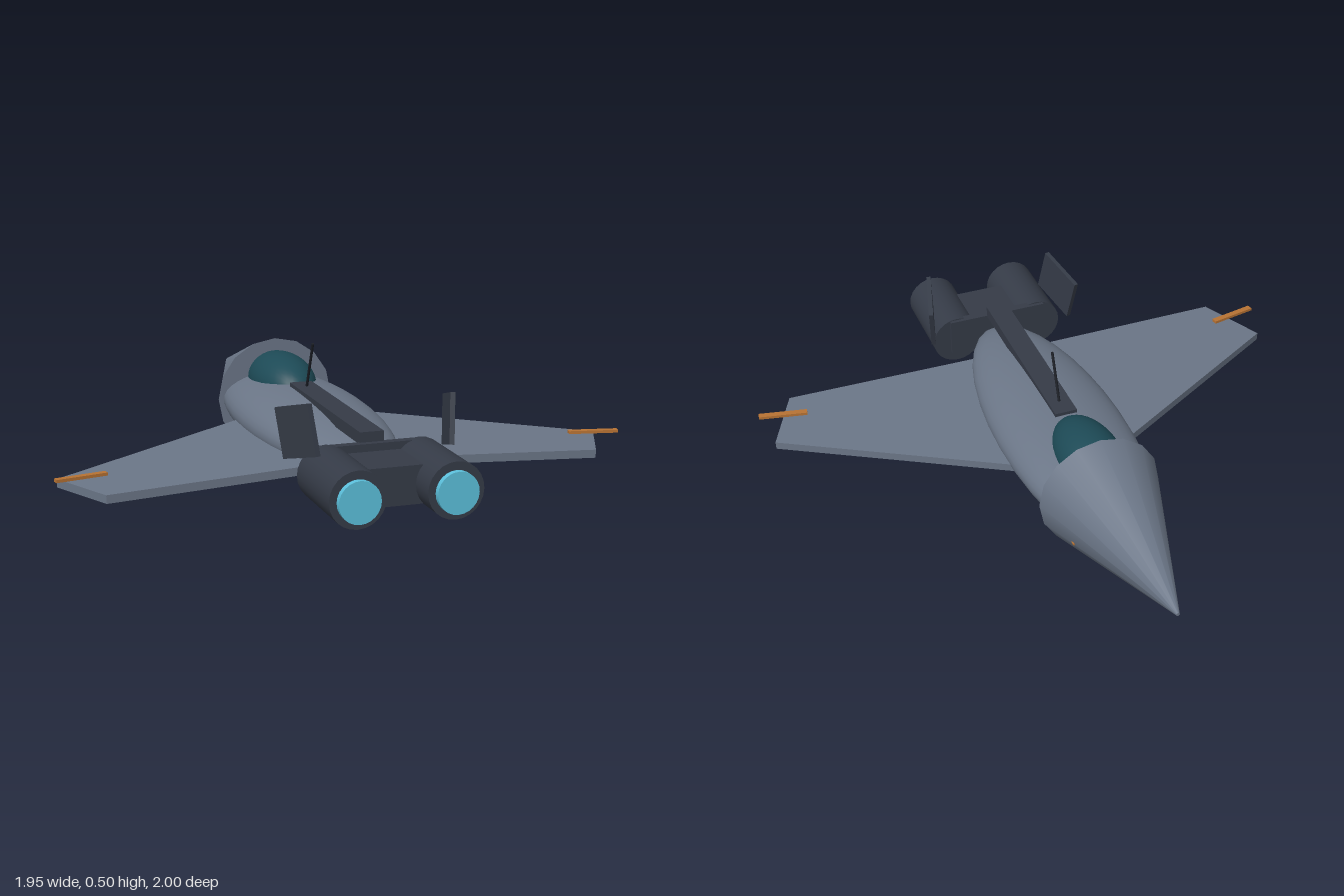
import * as THREE from 'three';

const mat = (name, color) => {
  const m = new THREE.MeshStandardMaterial({ color });
  m.name = name;
  return m;
};

export function createModel() {
  const hull = mat('hull grey', 0x6b7687);
  const dark = mat('dark metal', 0x353b47);
  const black = mat('antenna black', 0x1b1e25);
  const glass = mat('canopy teal', 0x1d4a56);
  const copper = mat('copper', 0xb87333);
  const glow = mat('engine glow', 0x5cc0dc);

  const root = new THREE.Group();
  root.name = 'spacecraft';

  const add = (name, geometry, material, x = 0, y = 0, z = 0) => {
    const mesh = new THREE.Mesh(geometry, material);
    mesh.name = name;
    mesh.position.set(x, y, z);
    root.add(mesh);
    return mesh;
  };
  const ellipsoid = (rx, ry, rz) => new THREE.SphereGeometry(1, 32, 20).scale(rx, ry, rz);

  // Straight rod between two points
  const rod = (name, a, b, r, material) => {
    const from = new THREE.Vector3(...a), to = new THREE.Vector3(...b);
    const dir = to.clone().sub(from);
    const mesh = add(name, new THREE.CylinderGeometry(r, r, dir.length(), 8), material);
    mesh.position.copy(from).add(to).multiplyScalar(0.5);
    mesh.quaternion.setFromUnitVectors(new THREE.Vector3(0, 1, 0), dir.normalize());
    return mesh;
  };

  // Body, nose pointing to -z, canopy and spine
  add('fuselage', ellipsoid(0.23, 0.11, 0.69), hull, 0, 0.22, 0);
  add('noseCone', new THREE.CylinderGeometry(0.006, 0.216, 0.645, 16).rotateX(-Math.PI / 2),
    hull, 0, 0.221, -0.6775);
  add('canopy', ellipsoid(0.112, 0.1, 0.215), glass, 0, 0.3, -0.27);
  add('spine', new THREE.BoxGeometry(0.08, 0.04, 0.72), dark, 0, 0.321, 0.31);
  rod('antenna', [0, 0.33, 0.015], [0, 0.505, 0.085], 0.005, black);

  // Engine mount
  add('enginePlate', new THREE.BoxGeometry(0.37, 0.135, 0.03), dark, 0, 0.24, 0.677);
  add('engineBlock', new THREE.BoxGeometry(0.2, 0.125, 0.215), dark, 0, 0.22, 0.7725);

  // Wing outline, drawn in x and z
  const wingShape = new THREE.Shape([
    [0.08, -0.187], [0.945, 0.35], [0.835, 0.585], [0.08, 0.541],
  ].map(([x, z]) => new THREE.Vector2(x, z)));

  for (const s of [1, -1]) {
    const side = s > 0 ? 'left' : 'right';

    // Wing slab drooping gently toward the tip
    const wing = new THREE.ExtrudeGeometry(wingShape, { depth: 0.028, bevelEnabled: false });
    wing.rotateX(Math.PI / 2).translate(0, 0.014, 0).rotateZ(-0.035);
    if (s < 0) {
      // Mirror and restore the corner order
      wing.scale(-1, 1, 1);
      const p = wing.attributes.position, v = new THREE.Vector3(), w = new THREE.Vector3();
      for (let i = 0; i < p.count; i += 3) {
        v.fromBufferAttribute(p, i + 1);
        w.fromBufferAttribute(p, i + 2);
        p.setXYZ(i + 1, w.x, w.y, w.z);
        p.setXYZ(i + 2, v.x, v.y, v.z);
      }
      wing.computeVertexNormals();
    }
    add(side + 'Wing', wing, hull, 0, 0.202, 0);

    // Copper rod floating over the wing tip
    const tip = add(side + 'TipRod', new THREE.BoxGeometry(0.172, 0.01, 0.022), copper,
      s * 0.887, 0.215, 0.459);
    tip.rotation.y = -s * 0.2;

    // Copper line along the belly
    rod(side + 'BellyLine', [s * 0.153, 0.162, -0.515], [s * 0.153, 0.132, 0.5], 0.005, copper);

    // Engine and its glowing exhaust
    add(side + 'Engine', new THREE.CylinderGeometry(0.092, 0.092, 0.305, 24).rotateX(Math.PI / 2),
      dark, s * 0.158, 0.221, 0.8275);
    add(side + 'Exhaust', new THREE.CylinderGeometry(0.068, 0.068, 0.04, 24).rotateX(Math.PI / 2),
      glow, s * 0.158, 0.218, 0.98);

    // Tail fin, turned out toward the nose and tilted back
    const along = new THREE.Vector3(-s * 0.05, 0.05, 0.182).normalize();
    const up = new THREE.Vector3(s * 0.015, 0.16, -0.035);
    up.addScaledVector(along, -up.dot(along)).normalize();
    const out = new THREE.Vector3().crossVectors(along, up);
    const fin = add(side + 'Fin', new THREE.BoxGeometry(0.192, 0.164, 0.016), dark,
      s * 0.2525, 0.366, 0.686);
    fin.quaternion.setFromRotationMatrix(new THREE.Matrix4().makeBasis(along, up, out));
  }

  return root;
}
